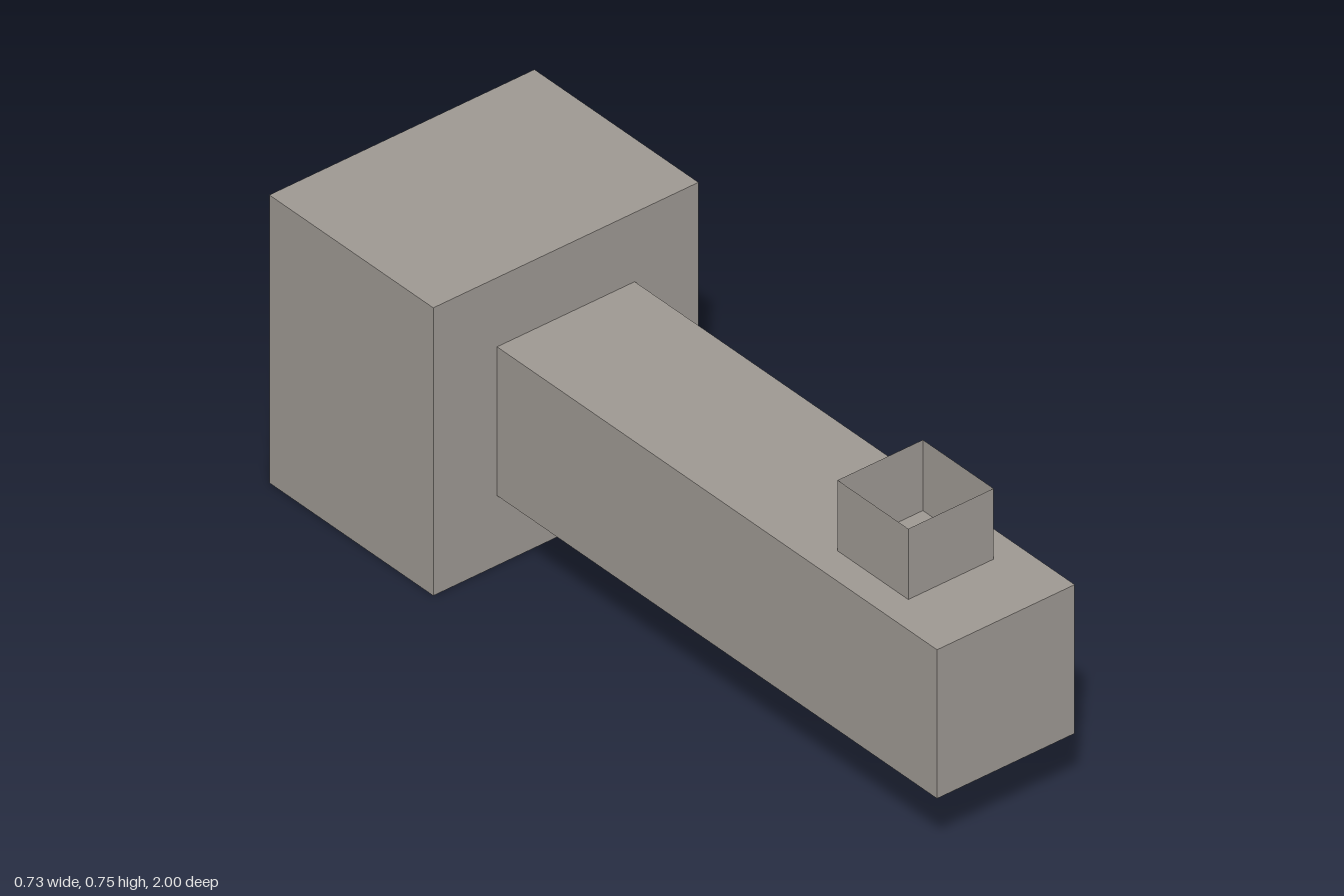
import * as THREE from 'three';

export function createModel() {
  const group = new THREE.Group();
  group.name = 'mallet';

  const grey = new THREE.MeshStandardMaterial({ color: 0x9d9892, side: THREE.DoubleSide });
  grey.name = 'warm grey';

  // Box given by its lower and upper limits on each axis
  const block = (name, [x0, x1], [y0, y1], [z0, z1]) => {
    const mesh = new THREE.Mesh(new THREE.BoxGeometry(x1 - x0, y1 - y0, z1 - z0), grey);
    mesh.position.set((x0 + x1) / 2, (y0 + y1) / 2, (z0 + z1) / 2);
    mesh.name = name;
    group.add(mesh);
  };

  // Large rear block and the long arm reaching forward from it
  block('rearBlock', [-0.364, 0.364], [0, 0.741], [-1, -0.457]);
  block('arm', [-0.189, 0.189], [0.18, 0.563], [-0.457, 1]);

  // Open square collar on the arm: four thin walls without a lid
  const width = 0.234, bottom = 0.563, top = 0.745;
  const collar = new THREE.Group();
  collar.name = 'collar';
  collar.position.set(0, (bottom + top) / 2, 0.701);
  for (let i = 0; i < 4; i++) {
    const geometry = new THREE.PlaneGeometry(width, top - bottom);
    geometry.translate(0, 0, width / 2).rotateY((i * Math.PI) / 2);
    const wall = new THREE.Mesh(geometry, grey);
    wall.name = 'collarWall';
    collar.add(wall);
  }
  group.add(collar);

  return group;
}
